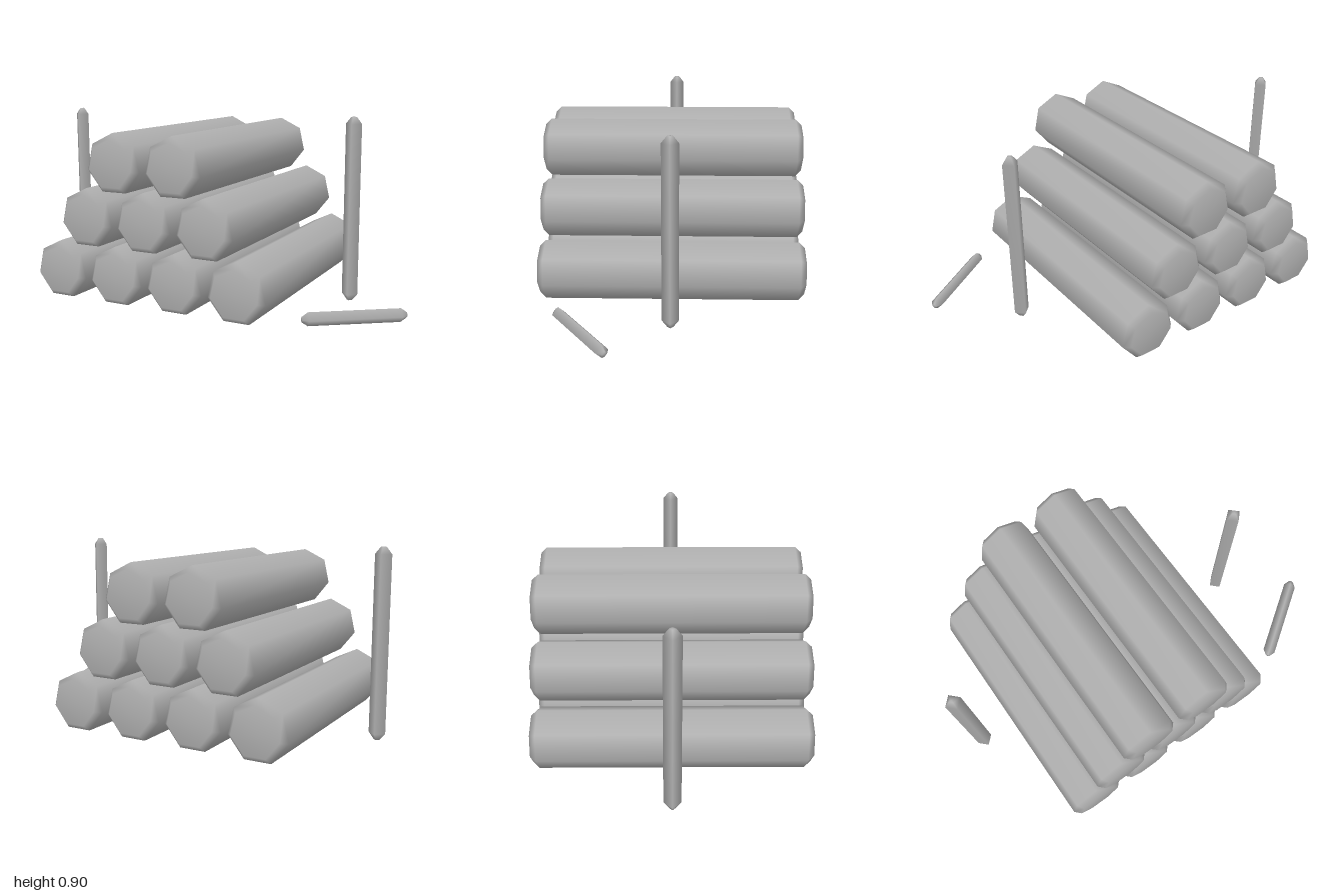
import * as THREE from 'three';

// Faceted rod along y with chamfered ends and smooth shading
function rodGeometry(radius, endRadius, length, chamfer, sides) {
  const h = length / 2;
  const profile = [
    [0, -h], [endRadius, -h], [radius, -h + chamfer],
    [radius, h - chamfer], [endRadius, h], [0, h],
  ].map(([x, y]) => new THREE.Vector2(x, y));
  return new THREE.LatheGeometry(profile, sides);
}

export function createModel() {
  const model = new THREE.Group();
  model.name = 'logPile';
  const grey = new THREE.MeshStandardMaterial({ color: 0xb0b0b0 });
  grey.name = 'plain grey';

  function add(name, geometry, x, y, z) {
    const mesh = new THREE.Mesh(geometry, grey);
    mesh.name = name;
    mesh.position.set(x, y, z);
    model.add(mesh);
    return mesh;
  }

  // Stacked logs, seven-sided with one corner up, lying along z
  const logGeometry = rodGeometry(0.147, 0.118, 1.3, 0.03, 7).rotateX(-Math.PI / 2);
  const spacing = 0.32;
  const rows = [
    { count: 4, start: -0.64 },
    { count: 3, start: -0.48 },
    { count: 2, start: -0.32 },
  ];
  rows.forEach(({ count, start }, row) => {
    for (let i = 0; i < count; i++) {
      add(`logRow${row + 1}Number${i + 1}`, logGeometry, start + i * spacing, 0.153 + row * 0.27, 0);
    }
  });

  // Upright stakes on both sides of the pile
  const stakeGeometry = rodGeometry(0.04, 0.014, 0.905, 0.033, 4);
  add('rightStake', stakeGeometry, -0.96, 0.4525, 0);
  add('leftStake', stakeGeometry, 0.64, 0.4525, 0);

  // Short loose stick on the ground
  const stickGeometry = rodGeometry(0.032, 0.012, 0.48, 0.028, 4).rotateX(-Math.PI / 2);
  const stick = add('looseStick', stickGeometry, 0.795, 0.053, 0.4);
  stick.rotation.y = Math.PI / 2 + 0.6;

  return model;
}
